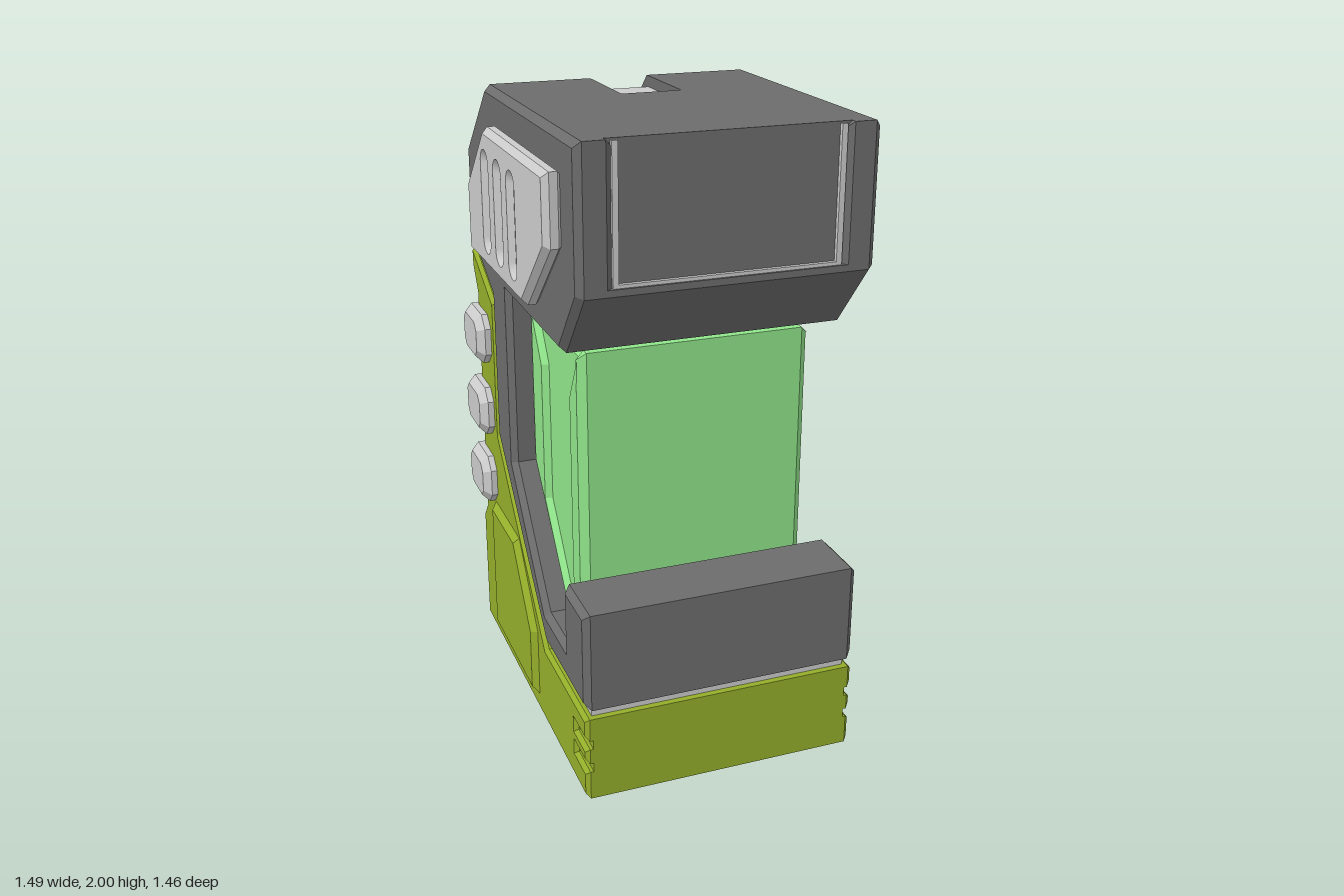
import * as THREE from 'three';

const mat = (color) => new THREE.MeshStandardMaterial({ color });
const GREY = mat(0xcccccc), DARK = mat(0x6c6c6c), GREEN = mat(0x94ae2a), CELL = mat(0x90e48a);

// Side profile (depth, height) extruded across the width from z0 to z1, with chamfered rims
function slab(parent, name, material, points, z0, z1, bevel = 0, holes = []) {
  const shape = new THREE.Shape(points.map(([u, y]) => new THREE.Vector2(u, y)));
  shape.holes.push(...holes);
  const geo = new THREE.ExtrudeGeometry(shape, {
    depth: z1 - z0 - 2 * bevel, bevelEnabled: bevel > 0, bevelThickness: bevel,
    bevelSize: bevel, bevelOffset: -bevel, bevelSegments: 1, curveSegments: 8,
  });
  geo.translate(0, 0, z0 + bevel);
  const mesh = new THREE.Mesh(geo, material);
  mesh.name = name;
  parent.add(mesh);
}

// Same slab on both sides of the body
function pair(parent, name, material, points, z0, z1, bevel, holes) {
  slab(parent, name + 'Left', material, points, z0, z1, bevel, holes);
  slab(parent, name + 'Right', material, points, -z1, -z0, bevel, holes);
}

// C-shaped frame: head, post, tray and front lip
function frameProfile(frontRecess, topChannel) {
  return [
    ...(frontRecess ? [[0.615, 1.6], [0.595, 1.6], [0.595, 2]] : [[0.615, 2]]),
    ...(topChannel
      ? [[-0.015, 2], [-0.015, 1.955], [-0.3, 1.955], [-0.545, 1.74], [-0.587, 1.74]]
      : [[-0.318, 2], [-0.587, 1.76]]),
    [-0.587, 1.45], [-0.324, 1.32], [-0.324, 0.83], [0.2, 0.31],
    [0.615, 0.31], [0.615, 0.63], [0.41, 0.63], [0.41, 0.42], [0.2, 0.42],
    [-0.14, 0.8], [-0.14, 1.375], [0.44, 1.375], [0.615, 1.58],
  ];
}

// Green shell: base and spine, optionally notched at the front corners
function shellProfile(notched) {
  const front = [[0.615, 0.28]];
  if (notched) for (const y of [0.19, 0.11])
    front.push([0.615, y + 0.015], [0.5, y + 0.015], [0.5, y - 0.015], [0.615, y - 0.015]);
  return [
    [-0.587, 1.42], [-0.324, 1.29], [-0.324, 0.82], [0.19, 0.28], ...front,
    [0.615, 0], [-0.587, 0], [-0.587, 0.42], [-0.535, 0.48], [-0.535, 1.27], [-0.587, 1.35],
  ];
}

function slot(u) {
  const r = 0.027, path = new THREE.Path();
  path.absarc(u, 1.79, r, 0, Math.PI, false);
  path.absarc(u, 1.555, r, Math.PI, 2 * Math.PI, false);
  path.closePath();
  return path;
}

export function createModel() {
  const root = new THREE.Group();
  root.name = 'powerUnit';
  const body = new THREE.Group();
  body.name = 'body';
  body.rotation.y = THREE.MathUtils.degToRad(-42);
  root.add(body);

  // Dark frame: cheeks, recessed middle and channelled centre
  pair(body, 'frameCheek', DARK, frameProfile(false, false), 0.335, 0.44, 0.02);
  pair(body, 'frameMiddle', DARK, frameProfile(true, false), 0.095, 0.36);
  slab(body, 'frameCentre', DARK, frameProfile(true, true), -0.095, 0.095);

  // Light strip in the top channel
  slab(body, 'topStrip', GREY,
    [[-0.015, 1.95], [-0.015, 1.965], [-0.305, 1.965], [-0.56, 1.74], [-0.53, 1.74], [-0.29, 1.95]],
    -0.095, 0.095);

  // Trim around the front recess
  pair(body, 'frontTrim', GREY, [[0.58, 1.585], [0.608, 1.585], [0.608, 1.995], [0.58, 1.995]], 0.32, 0.337);
  slab(body, 'frontTrimBottom', GREY, [[0.58, 1.59], [0.608, 1.59], [0.608, 1.61], [0.58, 1.61]], -0.33, 0.33);

  // Light seam between frame and shell
  slab(body, 'seam', GREY, [
    [-0.565, 1.46], [-0.3, 1.33], [-0.3, 0.85], [0.2, 0.33], [0.595, 0.33], [0.595, 0.26],
    [0.15, 0.26], [-0.35, 0.8], [-0.35, 1.27], [-0.565, 1.39]], -0.415, 0.415);

  // Green shell
  slab(body, 'shellCore', GREEN, shellProfile(false), -0.417, 0.417);
  pair(body, 'shellSide', GREEN, shellProfile(true), 0.4, 0.44, 0.013);
  pair(body, 'shellPanel', GREEN,
    [[-0.4, 0.55], [-0.09, 0.55], [0.11, 0.3], [0.11, 0.06], [-0.4, 0.06]], 0.4, 0.46, 0.025);

  // Vent plates with three slots
  const plate = [[-0.39, 1.46], [0.24, 1.46], [0.49, 1.69], [0.49, 1.9], [-0.165, 1.9], [-0.39, 1.69]];
  const inner = [[-0.35, 1.49], [0.22, 1.49], [0.45, 1.7], [0.45, 1.87], [-0.15, 1.87], [-0.35, 1.68]];
  pair(body, 'ventPlate', GREY, plate, 0.43, 0.49, 0.018, [-0.15, 0, 0.15].map(slot));
  pair(body, 'ventFloor', GREY, inner, 0.42, 0.462);

  // Octagonal grip bars across the spine
  const [hu, hy, cut] = [0.11, 0.085, 0.04];
  for (const y of [1.145, 0.885, 0.63]) {
    const oct = [
      [hu, cut - hy], [hu, hy - cut], [hu - cut, hy], [cut - hu, hy],
      [-hu, hy - cut], [-hu, cut - hy], [cut - hu, -hy], [hu - cut, -hy],
    ].map(([a, b]) => [a - 0.475, b + y]);
    slab(body, 'gripBar', GREY, oct, -0.485, 0.485, 0.025);
  }

  // Power cell with raised edge brackets
  slab(body, 'cellCore', CELL,
    [[-0.145, 1.34], [-0.145, 0.8], [0.19, 0.425], [0.365, 0.425], [0.365, 1.34]], -0.345, 0.345, 0.03);
  slab(body, 'cellFrontBracket', CELL,
    [[0.37, 1.34], [0.34, 1.34], [0.25, 1.18], [0.25, 0.57], [0.33, 0.425], [0.37, 0.425]], -0.365, 0.365, 0.025);
  slab(body, 'cellRearBracket', CELL,
    [[-0.15, 1.34], [-0.15, 0.8], [0.19, 0.425], [0.24, 0.425], [0, 0.72], [0, 1.18], [-0.11, 1.34]],
    -0.365, 0.365, 0.025);

  return root;
}
